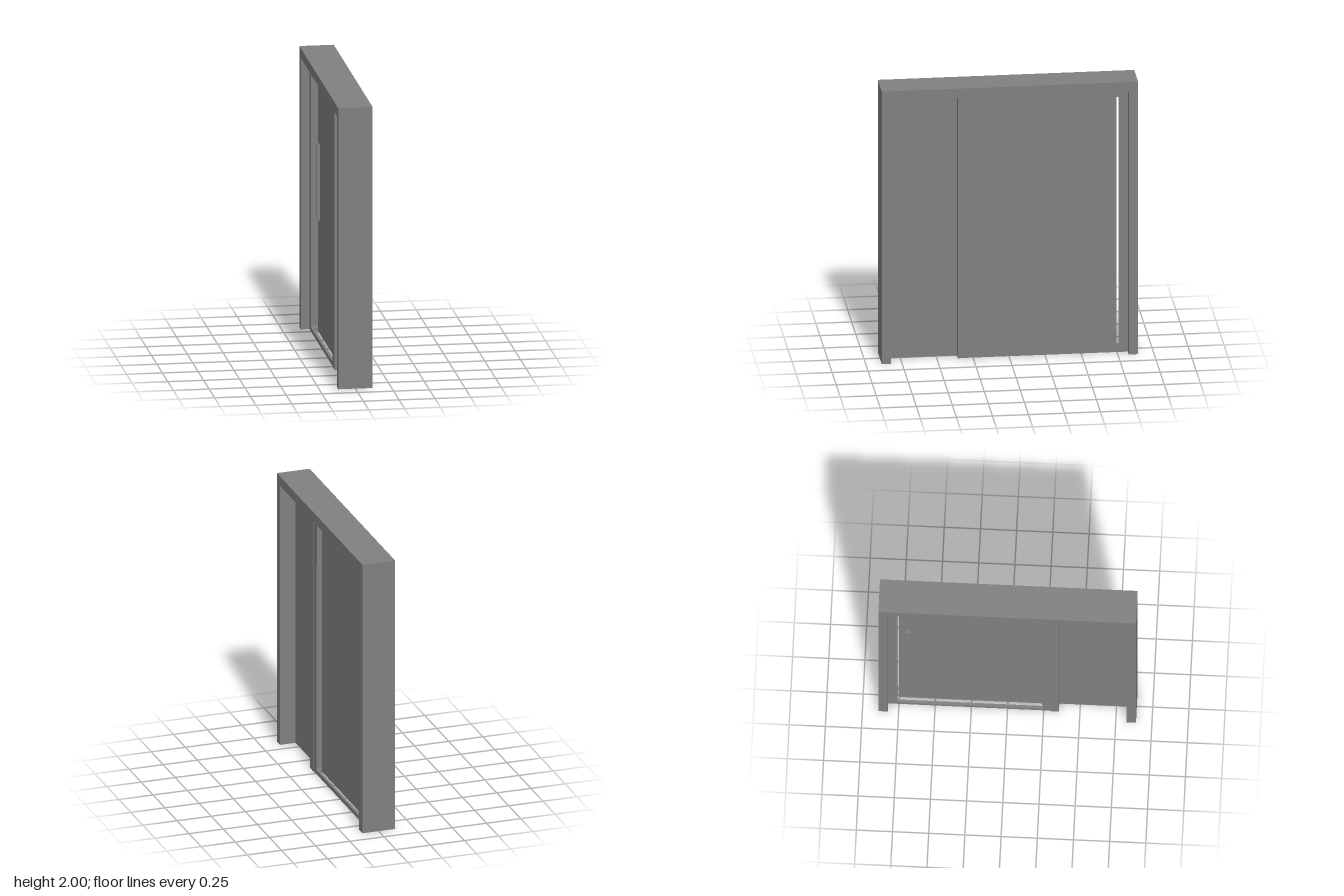
import * as THREE from 'three';

const grey = new THREE.MeshStandardMaterial({ color: 0x808080 });
grey.name = 'plain grey';

// Box given by its limits on each axis
function slab(name, [x0, x1], [y0, y1], [z0, z1]) {
  const mesh = new THREE.Mesh(new THREE.BoxGeometry(x1 - x0, y1 - y0, z1 - z0), grey);
  mesh.position.set((x0 + x1) / 2, (y0 + y1) / 2, (z0 + z1) / 2);
  mesh.name = name;
  return mesh;
}

// Outline in (z, y) pushed through the wall thickness, centred on x = 0
function wallExtrude(name, outline, hole, thickness) {
  const toPoints = (list) => list.map(([z, y]) => new THREE.Vector2(-z, y));
  const shape = new THREE.Shape(toPoints(outline));
  if (hole) shape.holes.push(new THREE.Path(toPoints(hole)));
  const geo = new THREE.ExtrudeGeometry(shape, { depth: thickness, bevelEnabled: false });
  geo.translate(0, 0, -thickness / 2);
  geo.rotateY(Math.PI / 2);
  const mesh = new THREE.Mesh(geo, grey);
  mesh.name = name;
  return mesh;
}

export function createModel() {
  const model = new THREE.Group();
  model.name = 'slidingDoor';

  // Outer casing: two jambs and a head, open at the floor
  model.add(wallExtrude('outerCasing', [
    [0.89, 0], [0.89, 2], [-0.89, 2], [-0.89, 0],
    [-0.825, 0], [-0.825, 1.93], [0.825, 1.93], [0.825, 0],
  ], null, 0.24));

  // Fixed side panel and the post beside the doorway
  model.add(slab('fixedPanel', [-0.005, 0.005], [0, 1.93], [0.35, 0.825]));
  model.add(slab('centrePost', [-0.064, 0.064], [0, 1.93], [0.29, 0.355]));

  // Door frame, stopping just short of the head; its inner edge leans slightly
  model.add(wallExtrude('doorFrame', [
    [0.29, 0.022], [0.29, 1.92], [-0.825, 1.92], [-0.825, 0.022],
  ], [
    [0.24, 0.03], [0.228, 1.87], [-0.762, 1.87], [-0.762, 0.03],
  ], 0.12));

  // Sill rails either side of the leaf, leaving two grooves underneath
  for (const side of [-1, 1]) {
    const xs = [side * 0.036, side * 0.06].sort((a, b) => a - b);
    model.add(slab('sillRail', xs, [0, 0.022], [-0.825, 0.29]));
  }
  model.add(slab('sillEnd', [-0.036, 0.036], [0, 0.022], [-0.825, -0.762]));
  model.add(slab('sillEnd', [-0.036, 0.036], [0, 0.022], [0.26, 0.29]));

  // Sliding leaf with a long pull on the back face
  model.add(slab('doorLeaf', [-0.01, 0.01], [0.002, 1.93], [-0.754, 0.26]));
  model.add(slab('pullHandle', [-0.03, -0.01], [0.81, 1.35], [-0.7, -0.67]));

  return model;
}
